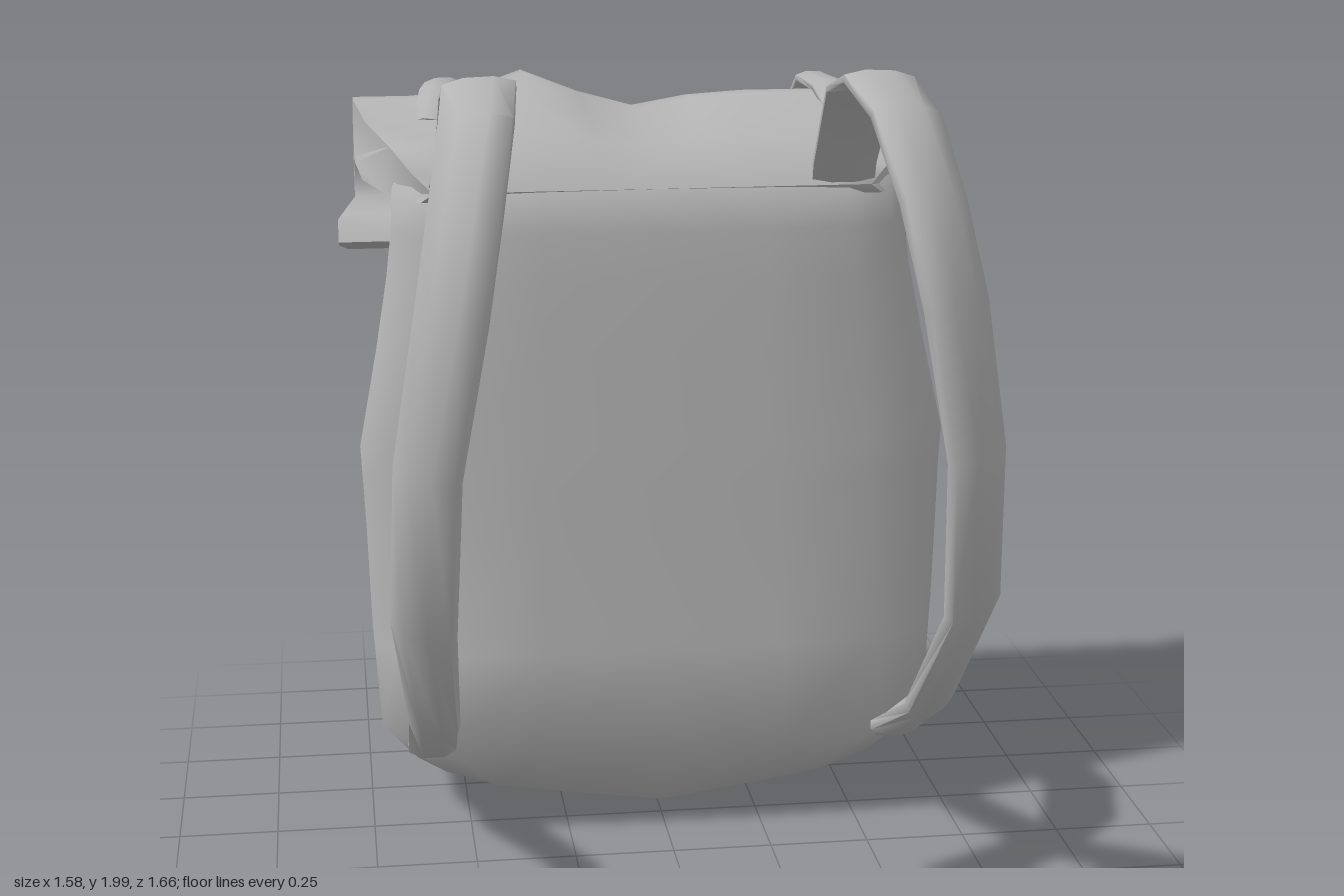
import * as THREE from 'three';
import { mergeVertices, toCreasedNormals } from 'three/addons/utils/BufferGeometryUtils.js';

const canvas = new THREE.MeshStandardMaterial({ color: 0xb6b6b6, side: THREE.DoubleSide });
canvas.name = 'grey canvas';

// Weld, turn the faces outward (positive volume) and shade smoothly up to a crease angle
function finish(geometry, crease) {
  geometry.deleteAttribute('uv');
  geometry.deleteAttribute('normal');
  const g = mergeVertices(geometry, 1e-4);
  const p = g.attributes.position, idx = g.index.array;
  const [a, b, c] = [0, 1, 2].map(() => new THREE.Vector3());
  let volume = 0;
  for (let i = 0; i < idx.length; i += 3) {
    a.fromBufferAttribute(p, idx[i]);
    b.fromBufferAttribute(p, idx[i + 1]);
    c.fromBufferAttribute(p, idx[i + 2]);
    volume += a.dot(b.cross(c));
  }
  if (volume < 0) {
    for (let i = 0; i < idx.length; i += 3) [idx[i], idx[i + 1]] = [idx[i + 1], idx[i]];
  }
  return toCreasedNormals(g, crease);
}

// Skin a list of closed rings and cap both ends
function loft(rings, crease) {
  const n = rings[0].length, verts = [], index = [];
  rings.forEach(r => r.forEach(v => verts.push(v.x, v.y, v.z)));
  for (let i = 0; i < rings.length - 1; i++) {
    for (let j = 0; j < n; j++) {
      const k = (j + 1) % n, a = i * n + j, b = i * n + k;
      index.push(a, b, b + n, a, b + n, a + n);
    }
  }
  [0, rings.length - 1].forEach((r, end) => {
    const c = new THREE.Vector3();
    rings[r].forEach(v => c.addScaledVector(v, 1 / n));
    const ci = verts.length / 3;
    verts.push(c.x, c.y, c.z);
    for (let j = 0; j < n; j++) {
      const a = r * n + j, b = r * n + (j + 1) % n;
      index.push(...(end ? [ci, a, b] : [ci, b, a]));
    }
  });
  const g = new THREE.BufferGeometry();
  g.setAttribute('position', new THREE.Float32BufferAttribute(verts, 3));
  g.setIndex(index);
  return finish(g, crease);
}

// Flat strap through stations [x, y, z, halfWidth, halfThickness, twist]
function strap(stations, side = 1) {
  const pts = stations.map(s => new THREE.Vector3(s[0], s[1], s[2]));
  const rings = stations.map(([, , , w, t, twist = 0], i) => {
    const T = pts[Math.min(i + 1, pts.length - 1)].clone().sub(pts[Math.max(i - 1, 0)]).normalize();
    const W = new THREE.Vector3(1, 0, 0).addScaledVector(T, -T.x).normalize();
    W.applyAxisAngle(T, twist);
    const N = T.clone().cross(W);
    return Array.from({ length: 8 }, (_, j) => {
      const a = (j + 0.5) * Math.PI / 4;
      const v = pts[i].clone().addScaledVector(W, w * Math.cos(a) * 1.08)
        .addScaledVector(N, t * Math.sin(a) * 1.08);
      v.x *= side;
      return v;
    });
  });
  return loft(rings, 1.3);
}

// Main bag with the bulging pocket on its rear
function bagGeometry() {
  // y, frontZ, frontX, sideX, sideZ, cornerX, cornerZ, rearZ, lift towards the sides
  const levels = [
    [0.01, -0.16, 0.16, 0.24, -0.28, 0.18, -0.36, -0.38, 0.12],
    [0.045, 0.0, 0.42, 0.63, -0.17, 0.64, -0.5, -0.49, 0.13],
    [0.23, 0.1, 0.57, 0.72, -0.1, 0.67, -0.5, -0.63, 0.03],
    [0.48, 0.065, 0.555, 0.735, -0.12, 0.65, -0.48, -0.73, 0],
    [0.53, 0.058, 0.55, 0.738, -0.12, 0.65, -0.48, -0.805, 0],
    [0.78, 0.02, 0.54, 0.745, -0.12, 0.64, -0.47, -0.805, 0],
    [0.9, 0.005, 0.54, 0.75, -0.13, 0.64, -0.47, -0.71, 0],
    [1.0, -0.01, 0.54, 0.755, -0.13, 0.64, -0.47, -0.71, 0],
    [1.25, -0.045, 0.53, 0.705, -0.17, 0.63, -0.47, -0.71, 0],
    [1.42, -0.07, 0.52, 0.675, -0.2, 0.62, -0.46, -0.65, 0],
    [1.54, -0.09, 0.51, 0.66, -0.21, 0.62, -0.45, -0.5, 0],
    [1.64, -0.115, 0.5, 0.655, -0.23, 0.63, -0.44, -0.48, 0],
    [1.7, -0.21, 0.45, 0.63, -0.3, 0.6, -0.42, -0.45, 0],
  ];
  const rings = levels.map(([y, fz, fx, sx, sz, cx, cz, rz, lift]) => {
    const half = [
      [fx * 0.55, fz - 0.004], [fx, fz - 0.015], [(fx + sx) / 2 + 0.035, (fz + sz) / 2],
      [sx, sz], [cx, cz],
      [Math.min(0.5, cx * 0.83), Math.max(0.15 * y - 0.69, rz * 0.8 + cz * 0.2)],
      [Math.min(0.39, cx * 0.62), rz + 0.02],
    ];
    const loop = [[0, fz], ...half, [0, rz], ...half.map(([x, z]) => [-x, z]).reverse()];
    return loop.map(([x, z]) => new THREE.Vector3(x, y + lift * Math.abs(x), z));
  });
  return loft(rings, 1.4);
}

// Top flap that curls into an open roll, with a wavy upper edge
function rolledTopGeometry() {
  const profile = [ // z, y
    [-0.122, 1.645], [-0.16, 1.69], [-0.25, 1.745], [-0.4, 1.785], [-0.52, 1.825], [-0.62, 1.82],
    [-0.7, 1.76], [-0.76, 1.65], [-0.75, 1.55], [-0.69, 1.46], [-0.58, 1.42], [-0.48, 1.45],
    [-0.37, 1.48], [-0.42, 1.53], [-0.53, 1.525], [-0.6, 1.56], [-0.62, 1.62], [-0.58, 1.67],
    [-0.5, 1.665], [-0.44, 1.63], [-0.28, 1.62], [-0.14, 1.62],
  ];
  const shape = new THREE.Shape(profile.map(([z, y]) => new THREE.Vector2(z, y)));
  const g = new THREE.ExtrudeGeometry(shape, { depth: 1, steps: 10, bevelEnabled: false });
  const p = g.attributes.position;
  for (let i = 0; i < p.count; i++) {
    const z = p.getX(i), y = p.getY(i), u = p.getZ(i) * 2 - 1;
    const back = THREE.MathUtils.clamp((-z - 0.12) / 0.38, 0, 1);
    const flare = y < 1.54 ? 0.05 * THREE.MathUtils.smoothstep(z, -0.7, -0.45) : 0;
    const x = u * (flare > 0 ? 0.74 + flare : 0.54 + 0.2 * Math.sqrt(back));
    const wave = 0.065 * Math.exp(-(((x + 0.29) / 0.12) ** 2)) - 0.035 * Math.exp(-((x / 0.13) ** 2));
    p.setXYZ(i, x, y + wave * back * THREE.MathUtils.smoothstep(y, 1.5, 1.8), z);
  }
  return finish(g, 1.2);
}

export function createModel() {
  const model = new THREE.Group();
  model.name = 'backpack';
  const add = (name, geometry) => {
    const mesh = new THREE.Mesh(geometry, canvas);
    mesh.name = name;
    model.add(mesh);
    return mesh;
  };

  add('bag', bagGeometry());
  add('rolledTop', rolledTopGeometry());

  const shoulder = [
    [0.49, 1.64, -0.17, 0.08, 0.018],
    [0.475, 1.71, -0.08, 0.08, 0.018],
    [0.465, 1.925, 0.14, 0.083, 0.018],
    [0.465, 1.975, 0.35, 0.085, 0.022, -0.05],
    [0.485, 1.92, 0.55, 0.085, 0.028, -0.2],
    [0.52, 1.75, 0.69, 0.085, 0.034, -0.4],
    [0.56, 1.53, 0.77, 0.085, 0.036, -0.5],
    [0.62, 1.18, 0.765, 0.082, 0.036, -0.6],
    [0.635, 0.8, 0.71, 0.08, 0.036, -0.6],
    [0.605, 0.46, 0.435, 0.06, 0.033, -0.3],
    [0.6, 0.265, 0.1, 0.06, 0.028],
    [0.59, 0.22, 0.0, 0.06, 0.025],
  ];
  const rollStrap = [
    [0.545, 1.775, -0.41, 0.045, 0.018],
    [0.52, 1.84, -0.52, 0.048, 0.018],
    [0.5, 1.845, -0.65, 0.048, 0.018],
    [0.49, 1.77, -0.73, 0.048, 0.018],
    [0.48, 1.63, -0.775, 0.048, 0.018],
    [0.48, 1.46, -0.755, 0.048, 0.016],
    [0.5, 1.33, -0.64, 0.04, 0.015],
    [0.53, 1.21, -0.535, 0.04, 0.015],
  ];
  // The strap on the right hangs shorter than the one on the left
  const hangingStrap = end => [
    [0.53, 1.22, -0.53, 0.045, 0.02],
    [0.525, 0.95, -0.57, 0.048, 0.025],
    [0.505, 0.6, -0.615, 0.048, 0.028],
    end,
  ];
  for (const side of [1, -1]) {
    const label = side > 0 ? 'left' : 'right';
    const end = side > 0 ? [0.46, 0.24, -0.675, 0.045, 0.025] : [0.49, 0.42, -0.645, 0.045, 0.025];
    add(label + 'ShoulderStrap', strap(shoulder, side));
    add(label + 'RollStrap', strap(rollStrap, side));
    add(label + 'HangingStrap', strap(hangingStrap(end), side));
    const buckle = add(label + 'Buckle', new THREE.BoxGeometry(0.12, 0.045, 0.085));
    buckle.position.set(side * 0.53, 1.21, -0.54);
    buckle.rotation.x = 0.15;
  }

  // Closing tab hanging from the rear pocket
  add('pocketTab', strap([
    [0.02, 0.69, -0.77, 0.048, 0.022],
    [0, 0.65, -0.81, 0.048, 0.022],
    [0, 0.5, -0.8, 0.046, 0.02],
    [0, 0.26, -0.705, 0.045, 0.018],
  ]));

  return model;
}
